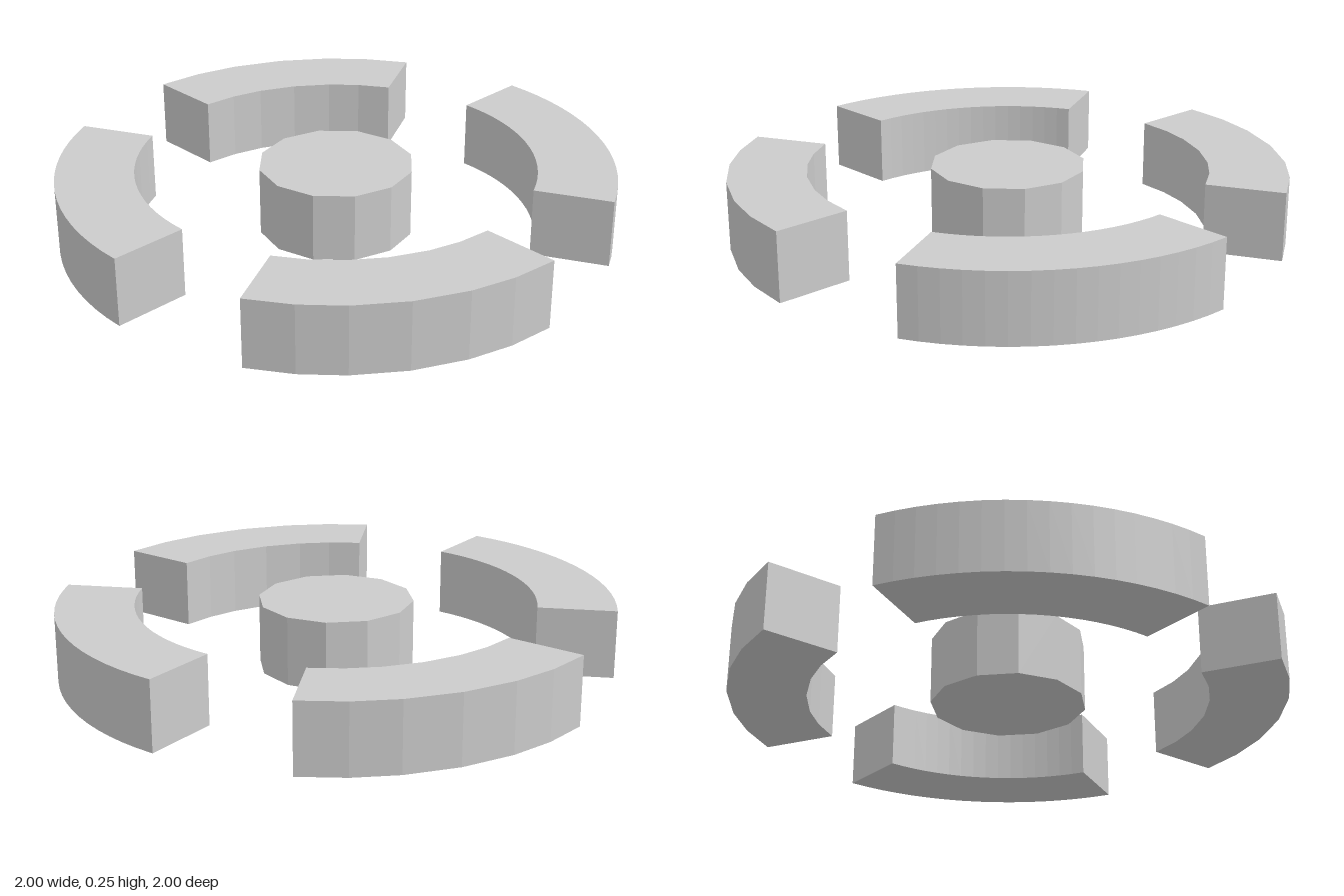
import * as THREE from 'three';

const HEIGHT = 0.25;
const OUTER = 1;
const INNER = 0.72;
const DISC = 0.28;

const material = new THREE.MeshStandardMaterial({ color: 0xcccccc, flatShading: true });

// Ring segment centred on +x, with facets at the given angles (degrees)
function ringSegment(name, angles, turn) {
  const at = (radius) => (deg) => {
    const a = THREE.MathUtils.degToRad(deg);
    return new THREE.Vector2(radius * Math.cos(a), radius * Math.sin(a));
  };
  const shape = new THREE.Shape([
    ...angles.map(at(OUTER)),
    ...[...angles].reverse().map(at(INNER)),
  ]);
  const geometry = new THREE.ExtrudeGeometry(shape, { depth: HEIGHT, bevelEnabled: false });
  geometry.rotateX(-Math.PI / 2);
  geometry.rotateY(turn);
  const mesh = new THREE.Mesh(geometry, material);
  mesh.name = name;
  return mesh;
}

export function createModel() {
  const model = new THREE.Group();
  model.name = 'segmentedRing';

  // Coarse front and back segments, finer and slightly wider side segments
  const coarse = [-30.4, -20.6, -11.2, 0, 11.2, 20.6, 30.4];
  const fine = Array.from({ length: 17 }, (_, i) => -31.8 + (63.6 * i) / 16);
  model.add(
    ringSegment('leftSegment', fine, 0),
    ringSegment('backSegment', coarse, Math.PI / 2),
    ringSegment('rightSegment', fine, Math.PI),
    ringSegment('frontSegment', coarse, -Math.PI / 2),
  );

  // Twelve-sided centre disc
  const disc = new THREE.Mesh(new THREE.CylinderGeometry(DISC, DISC, HEIGHT, 12), material);
  disc.name = 'centreDisc';
  disc.position.y = HEIGHT / 2;
  model.add(disc);

  return model;
}
